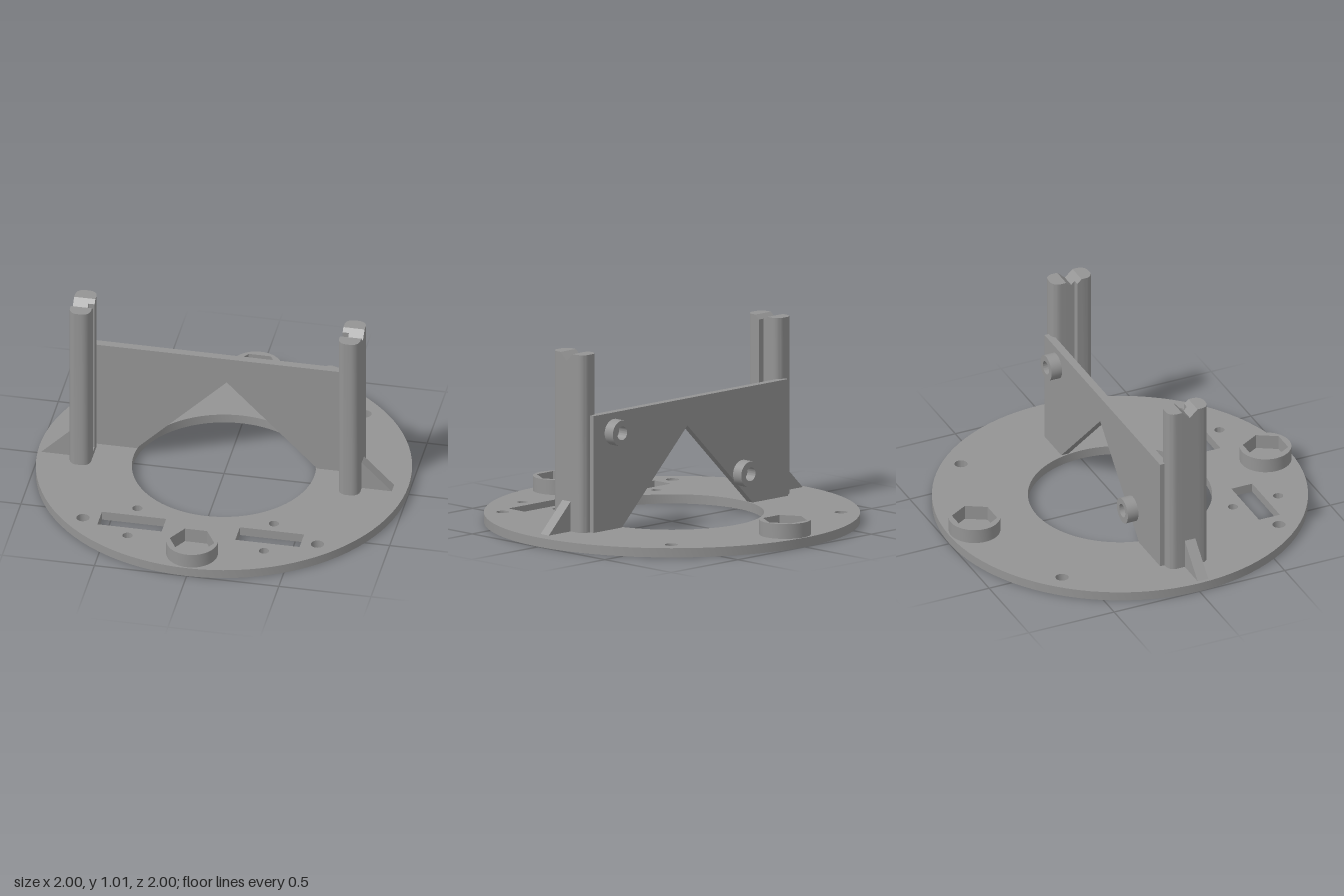
import * as THREE from 'three';
import { toCreasedNormals } from 'three/addons/utils/BufferGeometryUtils.js';

const BASE_TOP = 0.05;

// circle outline of a given number of sides
function circle(Type, x, y, r, sides = 40) {
  const pts = [];
  for (let i = 0; i < sides; i++) {
    const a = (i / sides) * Math.PI * 2;
    pts.push(new THREE.Vector2(x + r * Math.cos(a), y + r * Math.sin(a)));
  }
  return new Type(pts);
}

function polygon(pairs) {
  return new THREE.Shape(pairs.map(([x, y]) => new THREE.Vector2(x, y)));
}

function extrude(shape, depth) {
  return new THREE.ExtrudeGeometry(shape, { depth, bevelEnabled: false });
}

// extrude a plan drawn as (x, -z) upward from y0 to y1
function extrudeUp(shape, y0, y1) {
  return extrude(shape, y1 - y0).rotateX(-Math.PI / 2).translate(0, y0, 0);
}

export function createModel() {
  const group = new THREE.Group();
  const grey = new THREE.MeshStandardMaterial({ color: 0x949494 });
  grey.name = 'grey plastic';

  function add(name, geometry, parent = group) {
    const mesh = new THREE.Mesh(toCreasedNormals(geometry, 0.55), grey);
    mesh.name = name;
    parent.add(mesh);
    return mesh;
  }

  // base ring with screw holes and two rectangular slots
  const disc = circle(THREE.Shape, 0, 0, 1, 96);
  disc.holes.push(circle(THREE.Path, 0, 0, 0.49, 80));
  for (const s of [-1, 1]) {
    for (const t of [-1, 1]) disc.holes.push(circle(THREE.Path, s * 0.636, t * 0.636, 0.035, 24));
    for (const z of [0.49, 0.755]) disc.holes.push(circle(THREE.Path, s * 0.37, -z, 0.027, 24));
    disc.holes.push(new THREE.Path([[0.2, 0.56], [0.548, 0.56], [0.548, 0.682], [0.2, 0.682]]
      .map(([x, z]) => new THREE.Vector2(s * x, -z))));
  }
  add('baseRing', extrudeUp(disc, 0, BASE_TOP));

  // round bosses with hexagonal pockets
  for (const z of [-0.853, 0.853]) {
    const boss = circle(THREE.Shape, 0, -z, 0.138, 48);
    boss.holes.push(circle(THREE.Path, 0, -z, 0.121, 6));
    add(z > 0 ? 'frontHexSocket' : 'backHexSocket', extrudeUp(boss, BASE_TOP, 0.13));
  }

  // upright plate with a triangular cutout
  const plate = polygon([[-0.755, 0.05], [-0.49, 0.05], [0, 0.535], [0.49, 0.05],
    [0.702, 0.05], [0.702, 0.682], [-0.755, 0.682]]);
  add('uprightPlate', extrude(plate, 0.043).translate(0, 0, -0.116));

  // tubular bosses on the back of the plate
  for (const [x, y, name] of [[-0.412, 0.222, 'lowerTube'], [0.55, 0.577, 'upperTube']]) {
    const tube = circle(THREE.Shape, x, y, 0.07);
    tube.holes.push(circle(THREE.Path, x, y, 0.037));
    add(name, extrude(tube, 0.07).translate(0, 0, -0.178));
  }

  // posts, built from strips along z so the top can dip into a V notch
  const W = 0.0575, R = 0.045, TOP = 1.012, LOW = 0.97, MID = 0.03, HALF = 0.045;
  const ends = { [-1]: -0.09, [1]: 0.145 };

  function buildPost(name, cx, inner) {
    const post = new THREE.Group();
    post.name = name;
    group.add(post);

    for (const e of [-1, 1]) {
      // rounded end strip
      const cz = ends[e] - e * R;
      const pts = [[W, MID + e * HALF]];
      for (let i = 0; i <= 16; i++) {
        const a = (i / 16) * Math.PI;
        const side = i <= 8 ? 1 : -1;
        if (i === 8) {
          pts.push([W - R, ends[e]], [R - W, ends[e]]);
        } else {
          pts.push([side * (W - R) + R * Math.cos(a), cz + e * R * Math.sin(a)]);
        }
      }
      pts.push([-W, MID + e * HALF]);
      add('roundedSide', extrudeUp(polygon(pts.map(([x, z]) => [cx + x, -z])), BASE_TOP, TOP), post);

      // sloping half of the notch, with half of the inner groove
      const g = inner * W, d = inner * (W - 0.034);
      const groove = MID - 0.002 + e * 0.022;
      const core = [[-g, MID], [d, MID], [d, groove], [g, groove], [g, MID + e * HALF], [-g, MID + e * HALF]];
      const geo = extrudeUp(polygon(core.map(([x, z]) => [cx + x, -z])), BASE_TOP, TOP);
      const p = geo.attributes.position;
      for (let i = 0; i < p.count; i++) {
        if (p.getY(i) > 0.5) {
          const k = Math.abs(p.getZ(i) - MID) / HALF;
          p.setY(i, LOW + (TOP - LOW) * k);
        }
      }
      add('notchedCore', geo, post);
    }

    // closed foot of the groove
    const foot = new THREE.BoxGeometry(0.034, 0.03, 0.044);
    foot.translate(cx + inner * (W - 0.017), BASE_TOP + 0.015, MID - 0.002);
    add('grooveFoot', foot.toNonIndexed(), post);

    // triangular brace on the outer side
    const x0 = cx - inner * W;
    const brace = polygon([[x0, 0.05], [x0 - inner * 0.163, 0.05], [x0, 0.212]]);
    add('brace', extrude(brace, 0.062).translate(0, 0, 0), post);
  }
  buildPost('rightPost', -0.758, 1);
  buildPost('leftPost', 0.702, -1);

  return group;
}
